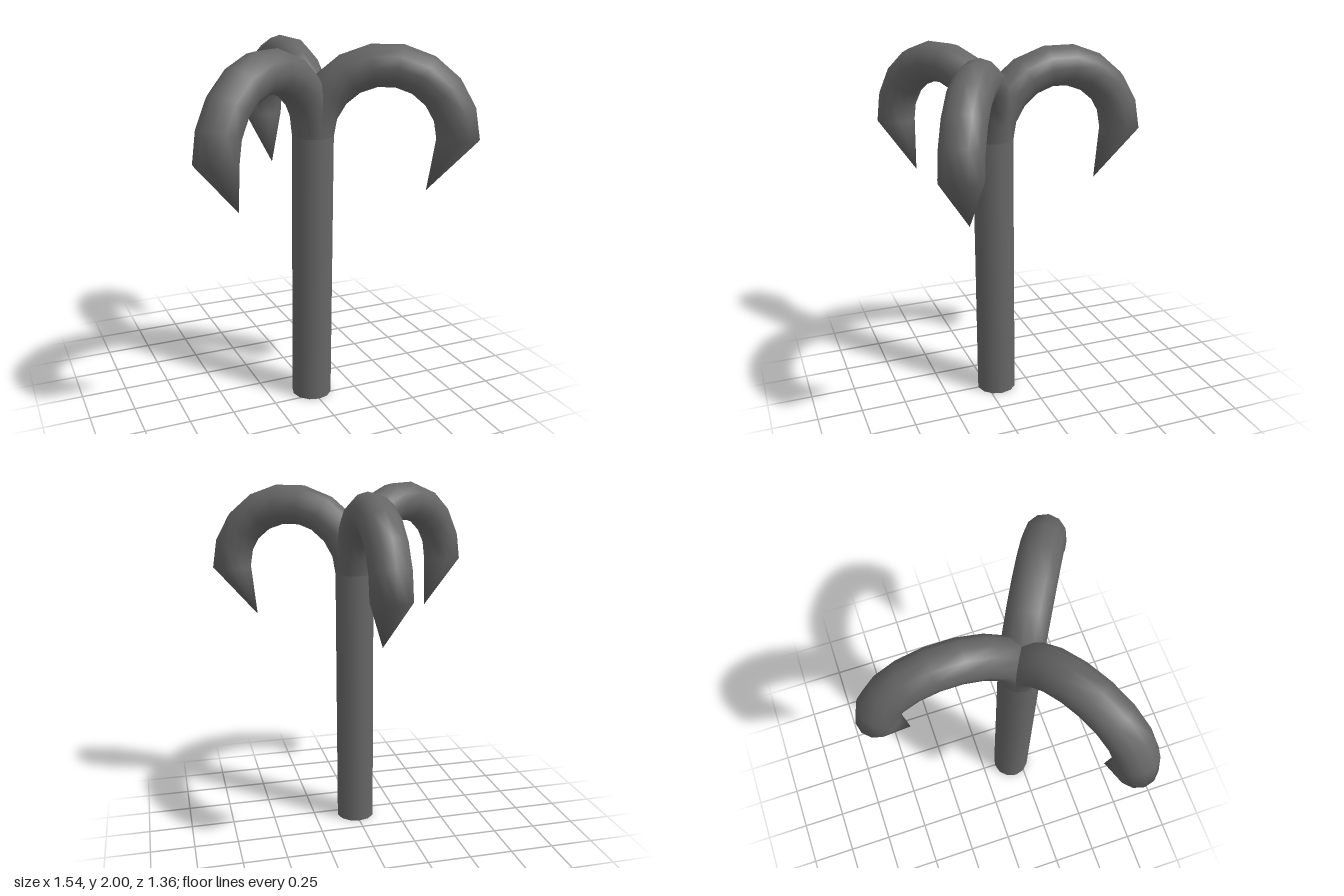
import * as THREE from 'three';
import { mergeGeometries, mergeVertices } from 'three/addons/utils/BufferGeometryUtils.js';

const TUBE = 0.112;    // thickness radius of shaft and arms
const BEND = 0.38;     // centreline radius of each arm
const SHOULDER = 1.517; // height where the shaft turns into the arms
const SIDES = 12;

const material = new THREE.MeshStandardMaterial({ color: 0x666666, side: THREE.DoubleSide });

function part(name, geometry) {
  const mesh = new THREE.Mesh(geometry, material);
  mesh.name = name;
  return mesh;
}

// Slanted cone whose point leans back towards the shaft
function tipGeometry() {
  const height = 0.28, lean = 0.153;
  const g = new THREE.ConeGeometry(TUBE, height, SIDES, 1, true);
  g.rotateX(Math.PI).translate(0, -height / 2, 0);
  const p = g.attributes.position;
  for (let i = 0; i < p.count; i++) p.setX(i, p.getX(i) + lean * p.getY(i) / height);
  return g;
}

// Half-circle bend and tip welded into one smoothly shaded surface
function hookGeometry() {
  const bend = new THREE.TorusGeometry(BEND, TUBE, SIDES, 9, Math.PI).translate(BEND, 0, 0);
  const tip = tipGeometry().translate(2 * BEND, 0, 0);
  const g = mergeGeometries([bend, tip]);
  g.deleteAttribute('normal');
  g.deleteAttribute('uv');
  const welded = mergeVertices(g, 1e-3);
  welded.computeVertexNormals();
  return welded;
}

export function createModel() {
  const model = new THREE.Group();
  model.name = 'grapplingHook';

  // Hollow shaft
  const shaft = part('shaft', new THREE.CylinderGeometry(TUBE, TUBE, SHOULDER, SIDES, 1, true));
  shaft.position.set(0, SHOULDER / 2, 0.19);
  model.add(shaft);

  // Three hooked arms, the first pointing backwards
  const hookShape = hookGeometry();
  ['backHook', 'leftHook', 'rightHook'].forEach((name, i) => {
    const hook = part(name, hookShape);
    hook.position.set(0, SHOULDER, 0.19);
    hook.rotation.y = Math.PI / 2 - i * 2 * Math.PI / 3;
    model.add(hook);
  });

  return model;
}
